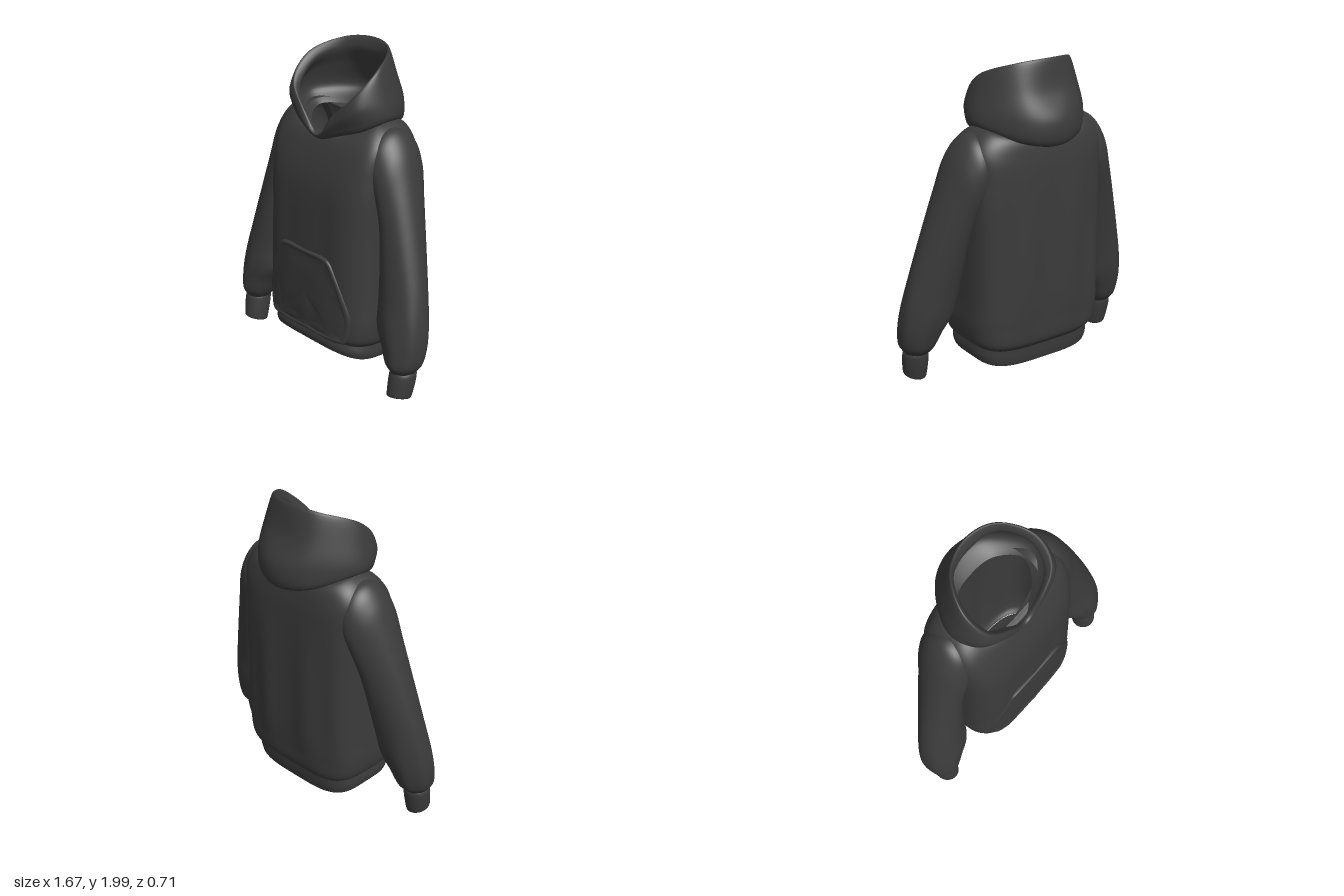
import * as THREE from 'three';

const fabric = new THREE.MeshStandardMaterial({ color: 0x3b3b3b, side: THREE.DoubleSide });
fabric.name = 'charcoal fabric';
const N = 96; // points around every loop
const { lerp, clamp, smoothstep } = THREE.MathUtils;

// Smooth skin through a stack of closed loops
function loft(name, loops, steps = 8) {
  const rows = (loops.length - 1) * steps + 1;
  const geo = new THREE.BufferGeometry(), pos = new Float32Array(rows * N * 3), index = [];
  for (let j = 0; j < N; j++) {
    const curve = new THREE.CatmullRomCurve3(loops.map((l) => l[j]));
    for (let i = 0; i < rows; i++) curve.getPoint(i / (rows - 1)).toArray(pos, (i * N + j) * 3);
  }
  for (let i = 0; i < rows - 1; i++) {
    for (let j = 0; j < N; j++) {
      const a = i * N + j, b = i * N + ((j + 1) % N);
      index.push(a, a + N, b, b, a + N, b + N);
    }
  }
  geo.setAttribute('position', new THREE.BufferAttribute(pos, 3));
  geo.setIndex(index);
  geo.computeVertexNormals();
  const mesh = new THREE.Mesh(geo, fabric);
  mesh.name = name;
  return mesh;
}

// Closed loop from points on the left half, front to back, mirrored in x
function mirroredLoop(half) {
  const mirror = half.slice(1, -1).reverse().map((p) => new THREE.Vector3(-p.x, p.y, p.z));
  const curve = new THREE.CatmullRomCurve3([...half, ...mirror], true);
  return Array.from({ length: N }, (_, j) => curve.getPoint(j / N));
}

// Hood loop: front, front corner, side, back corner and back, with a full V between the first two
function hoodLoop(points) {
  const half = points.map((p) => new THREE.Vector3(...p));
  const mid = half[0].clone().lerp(half[1], 0.5);
  mid.z += 0.03;
  half.splice(1, 0, mid);
  return mirroredLoop(half);
}

// Boxy ring whose front, side and back sit at their own heights
const POWER = 3.8;
const bend = (v) => Math.sign(v) * Math.abs(v) ** (2 / POWER);
function bodyRing([hw, zf, zb, yF, yS = yF, yB = yF]) {
  return Array.from({ length: N }, (_, j) => {
    const t = (j / N) * Math.PI * 2, c = Math.cos(t), x = hw * bend(Math.sin(t));
    const y = lerp(yS, c > 0 ? yF : yB, Math.abs(c) ** 1.2);
    // soft vertical drape, fading at shoulders and hem
    const fold = 0.011 * clamp((1.3 - yF) * 3, 0, 1) * clamp((yF - 0.27) * 6, 0, 1) * (c > 0 ? 0.4 : 1);
    const drape = fold * Math.cos((x / hw) * Math.PI * 3) * c * c;
    return new THREE.Vector3(x, y, (zf + zb) / 2 + ((zf - zb) / 2) * bend(c) + drape);
  });
}

// Sleeve ring spanning an outer and an inner point, with depth rz about z
function sleeveRing(side, [ox, oy, ix, iy, z, rz, slope = 0], pucker = 0) {
  return Array.from({ length: N }, (_, j) => {
    const t = (j / N) * Math.PI * 2, r = 1 + pucker * Math.sin(t * 7 + ox * 20);
    const c = Math.cos(t) * r, s = Math.sin(t) * r;
    return new THREE.Vector3(side * ((ox + ix) / 2 + (c * (ox - ix)) / 2),
      (oy + iy) / 2 + (c * (oy - iy)) / 2 + slope * s * rz, z + s * rz);
  });
}

function makeHood() {
  // lining, from the neck up to the opening
  const lining = [
    [[0, 1.45, 0.17], [0.22, 1.53, 0.09], [0.27, 1.56, -0.02], [0.16, 1.56, -0.15], [0, 1.56, -0.18]],
    [[0, 1.465, 0.2], [0.29, 1.61, 0.13], [0.345, 1.64, -0.01], [0.19, 1.65, -0.25], [0, 1.65, -0.305]],
    [[0, 1.47, 0.21], [0.285, 1.68, 0.155], [0.325, 1.76, 0], [0.185, 1.8, -0.2], [0, 1.8, -0.235]],
    [[0, 1.475, 0.205], [0.25, 1.715, 0.155], [0.274, 1.855, 0.01], [0.18, 1.915, -0.145], [0, 1.925, -0.185]],
  ].map(hoodLoop);
  // rolled rim, then the outside slumping at the back
  const outside = [
    [[0, 1.485, 0.225], [0.275, 1.755, 0.185], [0.31, 1.895, 0.035], [0.19, 1.978, -0.16], [0, 1.997, -0.22]],
    [[0, 1.48, 0.243], [0.318, 1.69, 0.185], [0.36, 1.76, 0.01], [0.2, 1.81, -0.225], [0, 1.81, -0.265]],
    [[0, 1.47, 0.24], [0.33, 1.61, 0.155], [0.384, 1.64, -0.01], [0.2, 1.645, -0.28], [0, 1.635, -0.35]],
    [[0, 1.455, 0.225], [0.315, 1.56, 0.14], [0.374, 1.605, -0.01], [0.2, 1.53, -0.265], [0, 1.5, -0.33]],
  ].map(hoodLoop);
  // tuck into the neckline
  const tuck = outside.at(-1).map((p) => new THREE.Vector3(p.x * 0.85, p.y - 0.025, p.z * 0.64));
  return loft('hood', [...lining, ...outside, tuck]);
}

function makeTorso() {
  return loft('torso', [
    [0.27, 0.17, -0.18, 1.49, 1.6, 1.56],
    [0.36, 0.205, -0.225, 1.475, 1.59, 1.525],
    [0.45, 0.25, -0.25, 1.39, 1.5, 1.41],
    [0.465, 0.305, -0.26, 1.21, 1.28, 1.23],
    [0.46, 0.328, -0.262, 0.9],
    [0.463, 0.338, -0.257, 0.5],
    [0.466, 0.342, -0.25, 0.36],
    [0.448, 0.342, -0.238, 0.275, 0.255, 0.23],
    [0.415, 0.326, -0.21, 0.245, 0.22, 0.19],
  ].map(bodyRing), 10);
}

// Ribbed hem, higher at the front, turned in at the bottom
function makeHem() {
  return loft('hemBand', [
    [0.412, 0.322, -0.206, 0.25, 0.225, 0.195],
    [0.418, 0.332, -0.2, 0.205, 0.165, 0.125],
    [0.408, 0.324, -0.188, 0.175, 0.127, 0.078],
    [0.398, 0.314, -0.185, 0.245, 0.22, 0.19],
  ].map(bodyRing), 5);
}

// Front pocket wrapped over the torso, with a raised stitched border
function makePocket() {
  const outline = mirroredLoop([[0, 0.775], [0.2, 0.77], [0.235, 0.75], [0.28, 0.68], [0.345, 0.54],
    [0.385, 0.42], [0.38, 0.34], [0.355, 0.262], [0.33, 0.25], [0, 0.25]].map(([x, y]) => new THREE.Vector3(x, y, 0)));
  const front = (x) => 0.041 + 0.296 * (1 - Math.abs(x / 0.465) ** POWER) ** (1 / POWER);
  const rows = [[1, -0.015], [0.995, 0.006], [0.965, 0.012], [0.93, 0.011], [0.9, 0.007], [0.5, 0.01], [0.001, 0.01]];
  return loft('pocket', rows.map(([k, lift]) => outline.map((p) => {
    const x = p.x * k, y = 0.5 + (p.y - 0.5) * k;
    const ripple = k < 0.95 ? 0.005 * Math.cos(x * 24) * smoothstep(0.49 - y, 0, 0.2) : 0;
    return new THREE.Vector3(x, y, front(x) + lift + ripple);
  })), 5);
}

function makeSleeve(side) {
  const group = new THREE.Group();
  group.name = side > 0 ? 'leftSleeve' : 'rightSleeve';
  const arm = [
    [0.33, 1.57, 0.34, 1.2, -0.01, 0.16],
    [0.44, 1.558, 0.38, 1.14, -0.01, 0.185],
    [0.525, 1.465, 0.42, 1.05, 0, 0.18],
    [0.61, 1.26, 0.44, 0.92, 0.022, 0.158],
    [0.78, 0.7, 0.465, 0.56, 0.09, 0.135],
    [0.828, 0.47, 0.49, 0.42, 0.12, 0.138],
    [0.838, 0.33, 0.555, 0.32, 0.14, 0.128],
    [0.822, 0.23, 0.605, 0.225, 0.157, 0.112],
    [0.79, 0.185, 0.64, 0.18, 0.165, 0.08],
  ];
  // open cuff, tipped forward and turned in
  const cuff = [
    [0.785, 0.195, 0.645, 0.19, 0.165, 0.078],
    [0.797, 0.165, 0.638, 0.165, 0.168, 0.084],
    [0.783, 0.028, 0.642, 0.014, 0.194, 0.073, 0.22],
    [0.77, 0.17, 0.657, 0.17, 0.168, 0.06],
  ];
  // the fabric gathers towards the cuff
  group.add(loft('sleeve', arm.map((r) => sleeveRing(side, r, 0.015 * clamp((0.8 - r[1]) * 4, 0, 1)))));
  group.add(loft('cuff', cuff.map((r) => sleeveRing(side, r)), 6));
  return group;
}

export function createModel() {
  const model = new THREE.Group();
  model.name = 'hoodie';
  model.add(makeHood(), makeTorso(), makeHem(), makePocket(), makeSleeve(1), makeSleeve(-1));
  return model;
}
